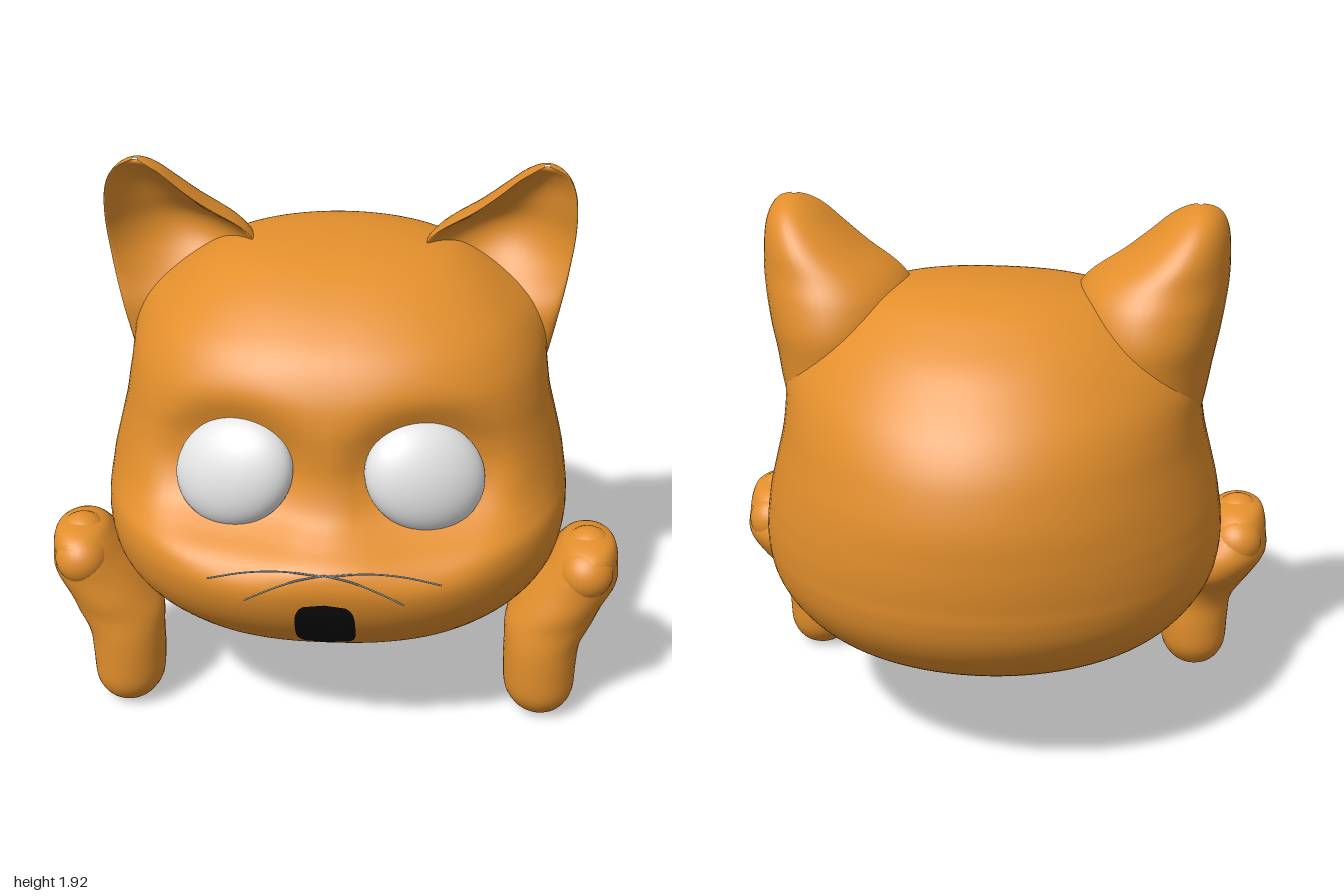
import * as THREE from 'three';

const paint = (name, color) => {
  const m = new THREE.MeshStandardMaterial({ color });
  m.name = name;
  return m;
};

// Smooth curve through the rows of a table; t counts rows
function sample(rows, t) {
  const i = Math.min(Math.floor(t), rows.length - 2), f = t - i;
  const row = k => rows[Math.max(0, Math.min(rows.length - 1, k))];
  const [a, b, c, d] = [row(i - 1), row(i), row(i + 1), row(i + 2)];
  return b.map((p, k) => {
    const m0 = (c[k] - a[k]) / 2, m1 = (d[k] - p) / 2, e = c[k] - p;
    return p + f * (m0 + f * (3 * e - 2 * m0 - m1 + f * (m0 + m1 - 2 * e)));
  });
}

// Skin over closed horizontal rings; point(row, angle) gives [x, y, z], angle 0 is the front
function loft(rows, point, segments, steps) {
  const pos = [], index = [], rings = (rows.length - 1) * steps;
  for (let i = 0; i <= rings; i++) {
    const row = sample(rows, i / steps);
    for (let j = 0; j < segments; j++) pos.push(...point(row, j / segments * Math.PI * 2));
  }
  for (let i = 0; i < rings; i++) for (let j = 0; j < segments; j++) {
    const a = i * segments + j, b = i * segments + (j + 1) % segments;
    index.push(a, b, b + segments, a, b + segments, a + segments);
  }
  const g = new THREE.BufferGeometry();
  g.setAttribute('position', new THREE.Float32BufferAttribute(pos, 3));
  g.setIndex(index);
  g.computeVertexNormals();
  return g;
}

// Head: y, half width, front z, back z, z of the widest point
const HEAD = [
  [0.27, 0, -0.1, -0.1, -0.1], [0.279, 0.2, 0.12, -0.25, -0.08], [0.296, 0.33, 0.25, -0.33, -0.05],
  [0.338, 0.49, 0.45, -0.45, -0.02], [0.4, 0.62, 0.61, -0.59, 0], [0.46, 0.7, 0.69, -0.69, 0],
  [0.54, 0.765, 0.77, -0.77, 0], [0.62, 0.805, 0.82, -0.82, 0], [0.7, 0.82, 0.847, -0.845, 0],
  [0.76, 0.822, 0.85, -0.853, 0], [0.81, 0.818, 0.83, -0.86, 0], [0.86, 0.81, 0.765, -0.865, 0],
  [0.92, 0.8, 0.705, -0.867, 0], [1.02, 0.775, 0.67, -0.865, 0], [1.12, 0.75, 0.655, -0.845, 0],
  [1.22, 0.73, 0.64, -0.81, 0], [1.32, 0.7, 0.61, -0.75, 0], [1.42, 0.64, 0.55, -0.66, 0],
  [1.5, 0.565, 0.46, -0.575, -0.02], [1.57, 0.485, 0.35, -0.47, -0.04], [1.62, 0.4, 0.24, -0.38, -0.06],
  [1.65, 0.28, 0.13, -0.29, -0.08], [1.668, 0.13, 0, -0.2, -0.1], [1.672, 0, -0.1, -0.1, -0.1],
];

const FRONT_POWER = 2.4;

// Depth of the eye sockets at a point of the face
function socket(x, y) {
  const d = Math.hypot((Math.abs(x) - 0.315) / 0.255, (y - 1.02) / 0.235);
  return 0.09 * Math.exp(-(d ** 4));
}

// Swelling that leads into the ear root
const earRoot = (y, z) => 0.06 * Math.exp(-(((y - 1.42) / 0.14) ** 2) - ((z + 0.13) / 0.22) ** 2);

function headPoint([y, w, zf, zb, z0], a) {
  const s = Math.sin(a), c = Math.cos(a), p = c > 0 ? 2 / FRONT_POWER : 1;
  const across = Math.sign(s) * Math.abs(s) ** p, reach = Math.abs(c) ** p;
  const z = z0 + ((c > 0 ? zf : zb) - z0) * reach;
  const x = across * (w + earRoot(y, z));
  return [x, y, c > 0 ? z - socket(x, y) * Math.min(1, reach * 2) : z];
}

// Ear: y, inner x, outer x, back depth, hollow depth, rim z
const EAR = [
  [1.18, 0.42, 0.725, 0.24, -0.08, -0.04], [1.3, 0.36, 0.75, 0.3, -0.03, -0.02],
  [1.4, 0.31, 0.768, 0.34, 0.01, 0], [1.5, 0.28, 0.787, 0.35, 0.07, 0],
  [1.6, 0.28, 0.802, 0.325, 0.13, 0], [1.68, 0.33, 0.81, 0.295, 0.15, 0.01],
  [1.76, 0.45, 0.81, 0.275, 0.13, 0.03], [1.83, 0.54, 0.803, 0.235, 0.1, 0.04],
  [1.88, 0.6, 0.785, 0.18, 0.06, 0.04], [1.91, 0.65, 0.755, 0.11, 0.02, 0.03],
  [1.925, 0.69, 0.71, 0.02, 0, 0.01],
];

const earPoint = side => ([y, xi, xo, back, hollow, rim], a) => {
  const c = Math.cos(a), x = side * (xi + xo) / 2 + (xo - xi) / 2 * Math.sin(a);
  const z = c < 0 ? rim + back * c : rim - hollow * c ** 1.5 + 0.1 * Math.min(1, back * 4) * c * (1 - c);
  return [x, y, z];
};

// Raised foreleg: y, centre x, half width, centre z, half depth
const LEG = [
  [0.002, 0.745, 0, 0.375, 0], [0.012, 0.745, 0.05, 0.375, 0.05], [0.04, 0.745, 0.09, 0.375, 0.09],
  [0.1, 0.742, 0.122, 0.375, 0.125], [0.2, 0.74, 0.13, 0.375, 0.135], [0.3, 0.745, 0.135, 0.375, 0.137],
  [0.38, 0.767, 0.155, 0.355, 0.152], [0.45, 0.8, 0.157, 0.325, 0.188], [0.53, 0.843, 0.157, 0.313, 0.198],
  [0.6, 0.868, 0.13, 0.325, 0.188], [0.66, 0.885, 0.105, 0.34, 0.165], [0.7, 0.892, 0.075, 0.345, 0.11],
  [0.72, 0.895, 0, 0.35, 0],
];

export function createModel() {
  const model = new THREE.Group();
  const fur = paint('orange fur', 0xe38f2c);
  const white = paint('eye white', 0xe7e7e7);
  const black = paint('mouth black', 0x0c0c0c);
  const grey = paint('whisker grey', 0x9db4c4);
  const add = (name, geometry, material, parent = model) => {
    const mesh = new THREE.Mesh(geometry, material);
    mesh.name = name;
    parent.add(mesh);
    return mesh;
  };

  add('head', loft(HEAD, headPoint, 96, 5), fur);

  // Open mouth, a thin skin following the muzzle
  const mouthGeo = new THREE.PlaneGeometry(2, 2, 10, 20);
  const p = mouthGeo.attributes.position;
  for (let i = 0; i < p.count; i++) {
    const v = p.getY(i), x = p.getX(i) * 0.1 * Math.max(0, 1 - Math.abs(v) ** 3.5) ** 0.3;
    const [y, w, zf] = sample(HEAD, 6.5 + 1.5 * v);
    const z = zf * (1 - Math.abs(x / w) ** FRONT_POWER) ** (1 / FRONT_POWER);
    p.setXYZ(i, x, y - 0.003, z + 0.008);
  }
  mouthGeo.computeVertexNormals();
  add('mouth', mouthGeo, black);

  // Small dark spot under the head
  const spot = add('undersideSpot', new THREE.CircleGeometry(0.045, 8).rotateX(Math.PI / 2), black);
  spot.position.set(0.33, 0.287, -0.07);
  spot.rotation.z = 0.2;

  for (const side of [1, -1]) {
    const label = side > 0 ? 'left' : 'right';
    add(label + 'Ear', loft(EAR, earPoint(side), 48, 5), fur);

    const eye = add(label + 'Eye', new THREE.SphereGeometry(1, 40, 28), white);
    eye.scale.set(0.212, 0.185, 0.11);
    eye.position.set(0.317 * side, 1.032, 0.565);
    eye.rotation.set(-0.2, 0.32 * side, -0.5 * side, 'YXZ');

    // Foreleg with rounded toes
    const leg = new THREE.Group();
    leg.name = label + 'Foreleg';
    model.add(leg);
    add('leg', loft(LEG, ([y, cx, rx, cz, rz], a) =>
      [cx * side + rx * Math.sin(a), y, cz + rz * Math.cos(a)], 32, 4), fur, leg);
    for (const [x, y, z, r] of [[0.88, 0.605, 0.432, 0.094], [0.89, 0.64, 0.345, 0.09], [0.888, 0.59, 0.225, 0.092]])
      add('toe', new THREE.SphereGeometry(r, 24, 16).translate(x * side, y, z), fur, leg);

    // Whiskers
    const whiskers = [
      [[0, 0.795, 0.838], [0.14, 0.812, 0.842], [0.26, 0.808, 0.848], [0.38, 0.785, 0.852]],
      [[0, 0.8, 0.84], [0.09, 0.785, 0.852], [0.18, 0.752, 0.86], [0.26, 0.715, 0.866]],
    ];
    for (const path of whiskers) {
      const curve = new THREE.CatmullRomCurve3(path.map(([x, y, z]) => new THREE.Vector3(x * side, y, z)));
      add(label + 'Whisker', new THREE.TubeGeometry(curve, 16, 0.003, 5), grey);
    }
  }
  return model;
}
